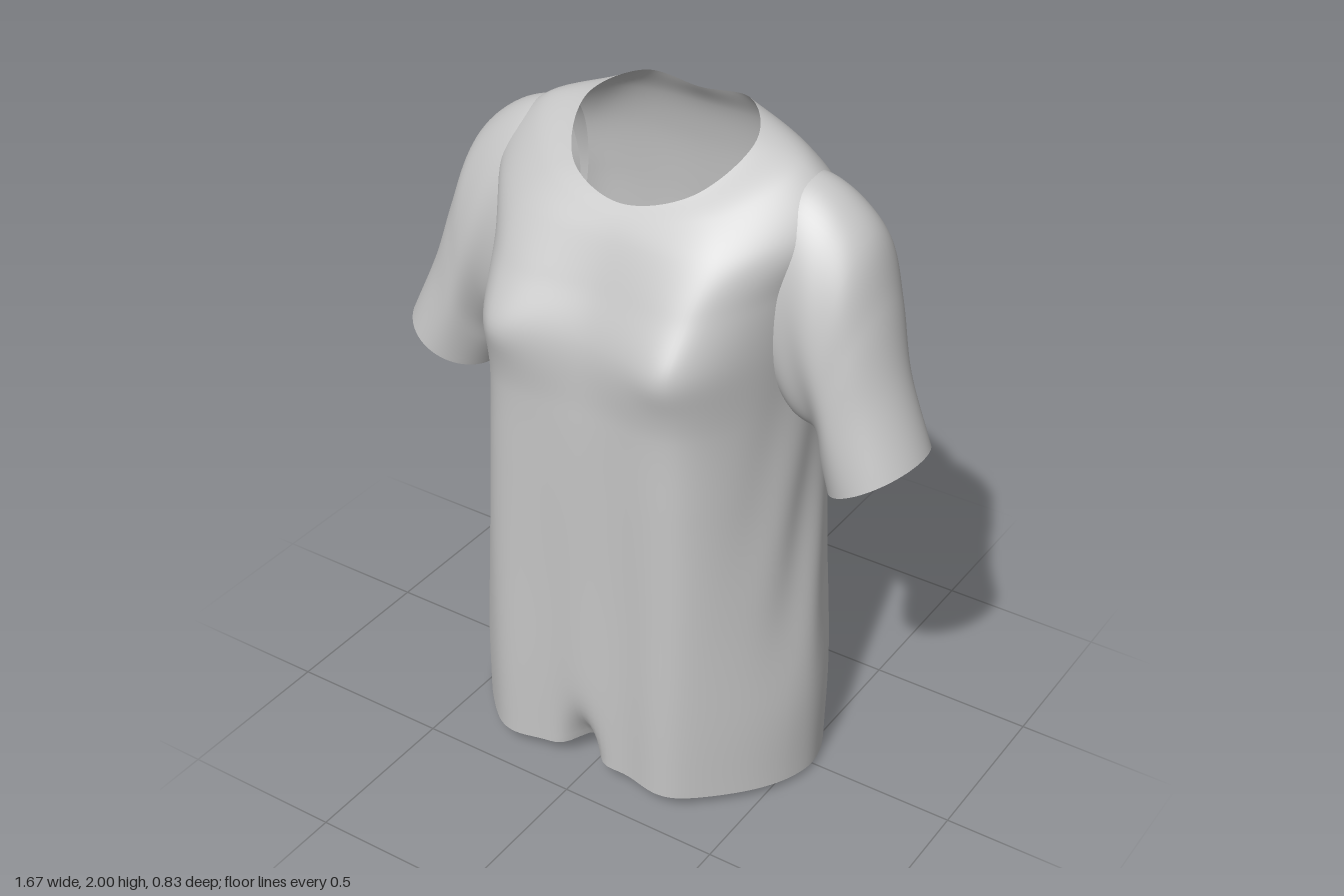
import * as THREE from 'three';

// Skins a list of loops (each an array of n points) with a smooth spline surface.
// Quads for which isHole(x, y, z) holds are left open.
function loft(loops, stepsPerSpan, adjust, isHole = () => false) {
  const n = loops[0].length, rows = (loops.length - 1) * stepsPerSpan + 1;
  const pos = new Float32Array(n * rows * 3), index = [];
  for (let i = 0; i < n; i++) {
    const curve = new THREE.CatmullRomCurve3(loops.map((l) => l[i]));
    for (let j = 0; j < rows; j++) {
      const p = curve.getPoint(j / (rows - 1));
      adjust(p, j / (rows - 1), i / n);
      p.toArray(pos, (j * n + i) * 3);
    }
  }
  for (let j = 0; j < rows - 1; j++) {
    for (let i = 0; i < n; i++) {
      const k = (i + 1) % n, a = j * n + i, b = j * n + k;
      if (isHole(pos[a * 3], pos[a * 3 + 1], pos[a * 3 + 2])) continue;
      index.push(a, a + n, b, b, a + n, b + n);
    }
  }
  const g = new THREE.BufferGeometry();
  g.setAttribute('position', new THREE.BufferAttribute(pos, 3));
  g.setIndex(index);
  g.computeVertexNormals();
  return g;
}

const bump = (v, centre, width) => Math.exp(-(((v - centre) / width) ** 2));

// Body sections from hem to neckline: front, front corner, side, back corner, back.
const BODY = [
  [[0, 0.05, 0.4], [0.33, 0.04, 0.38], [0.555, 0.02, 0.03], [0.36, 0.005, -0.315], [0, 0, -0.405]],
  [[0, 0.3, 0.398], [0.33, 0.3, 0.38], [0.553, 0.3, 0.02], [0.37, 0.3, -0.31], [0, 0.3, -0.38]],
  [[0, 0.65, 0.393], [0.33, 0.65, 0.372], [0.515, 0.65, 0], [0.37, 0.65, -0.3], [0, 0.65, -0.35]],
  [[0, 1, 0.39], [0.32, 1, 0.367], [0.48, 1, -0.02], [0.37, 1, -0.29], [0, 1, -0.323]],
  [[0, 1.25, 0.386], [0.31, 1.25, 0.367], [0.465, 1.25, -0.03], [0.37, 1.25, -0.28], [0, 1.25, -0.308]],
  [[0, 1.45, 0.375], [0.3, 1.45, 0.388], [0.47, 1.44, -0.04], [0.38, 1.44, -0.275], [0, 1.44, -0.298]],
  [[0, 1.6, 0.31], [0.31, 1.6, 0.312], [0.49, 1.62, -0.05], [0.385, 1.62, -0.268], [0, 1.62, -0.29]],
  [[0, 1.72, 0.25], [0.32, 1.73, 0.225], [0.525, 1.79, -0.06], [0.375, 1.79, -0.25], [0, 1.8, -0.272]],
  [[0, 1.765, 0.22], [0.265, 1.815, 0.16], [0.42, 1.912, -0.06], [0.29, 1.91, -0.222], [0, 1.92, -0.24]],
  [[0, 1.8, 0.19], [0.19, 1.85, 0.13], [0.268, 1.955, -0.05], [0.17, 2.0, -0.182], [0, 1.985, -0.198]],
];

function bodyLoop([front, corner, side, backCorner, back]) {
  const mirror = ([x, y, z]) => [-x, y, z];
  const ring = [side, corner, front, mirror(corner), mirror(side), mirror(backCorner), back, backCorner];
  const curve = new THREE.CatmullRomCurve3(ring.map((p) => new THREE.Vector3(...p)), true);
  return Array.from({ length: 144 }, (_, i) => curve.getPoint(i / 144));
}

// Hanging folds, bust points and the pinch in the front hem.
function drapeBody(p) {
  const { x, y, z } = p;
  const low = THREE.MathUtils.clamp(1 - y / 1.35, 0, 1);
  const mid = bump(x, 0, 0.42);
  if (z > 0.1) {
    p.z += 0.014 * low * mid * Math.cos(x * 22);
    p.z += 0.012 * bump(Math.abs(x), 0.28, 0.09) * bump(y, 1.44, 0.07);
    const pinch = bump(x, -0.02, 0.055) * bump(y, 0, 0.15);
    p.z -= 0.11 * pinch;
    p.y += 0.03 * pinch;
  } else if (z < -0.1) {
    const hang = THREE.MathUtils.smoothstep(1.8 - y, 0, 0.6);
    p.z += 0.01 * hang * mid * Math.cos(x * 17 + 2.8);
  }
  // Shallow slanting creases along the sides
  const side = bump(z, 0, 0.17) * bump(y, 0.85, 0.4);
  p.x -= Math.sign(x) * 0.008 * side * (1 + Math.sin(y * 9 + z * 24));
}

// Openings of the body into the sleeves
const armhole = (x, y, z) =>
  Math.abs(x) > 0.38 && ((y - 1.52) / 0.25) ** 2 + ((z + 0.05) / 0.145) ** 2 < 1;

// Sleeve loop: outer point, inner point, depth centre, half depth, backward lean of the top.
const SLEEVE = [
  [0.37, 1.905, 0.43, 1.25, -0.05, 0.175, 0.02],
  [0.46, 1.893, 0.47, 1.215, -0.05, 0.185, 0.025],
  [0.55, 1.845, 0.51, 1.205, -0.045, 0.188, 0.03],
  [0.627, 1.765, 0.53, 1.2, -0.04, 0.185, 0.03],
  [0.685, 1.6, 0.55, 1.17, -0.03, 0.178, 0.02],
  [0.745, 1.4, 0.56, 1.12, -0.01, 0.165, 0.01],
  [0.835, 1.19, 0.582, 1.045, 0.0, 0.165, 0],
];

function sleeveLoop([xo, yo, xi, yi, zc, d, lean], side) {
  const pts = [], n = 72;
  for (let i = 0; i < n; i++) {
    const t = (i / n) * Math.PI * 2, c = Math.cos(t), k = (1 + c) / 2;
    pts.push(new THREE.Vector3(
      side * (xi + (xo - xi) * k), yi + (yo - yi) * k, zc - lean * c - side * d * Math.sin(t)));
  }
  return pts;
}

// Soft creases gathering towards the armpit.
function drapeSleeve(p, v, u) {
  const under = (1 - Math.cos(u * Math.PI * 2)) / 2;
  const face = THREE.MathUtils.clamp((p.z + 0.03) * 10, -1, 1);
  p.z += face * 0.01 * Math.sin(Math.PI * v) * under * Math.sin(Math.abs(p.x) * 38 + p.y * 12);
}

export function createModel() {
  const group = new THREE.Group();
  group.name = 'shirt';
  const fabric = new THREE.MeshStandardMaterial({ color: 0xc4c4c4, side: THREE.DoubleSide });
  fabric.name = 'grey fabric';

  const add = (name, geometry) => {
    const mesh = new THREE.Mesh(geometry, fabric);
    mesh.name = name;
    group.add(mesh);
  };

  // Body from hem to neckline
  add('body', loft(BODY.map(bodyLoop), 10, drapeBody, armhole));

  // Short sleeves
  for (const side of [1, -1]) {
    add(side > 0 ? 'leftSleeve' : 'rightSleeve',
      loft(SLEEVE.map((s) => sleeveLoop(s, side)), 8, drapeSleeve));
  }
  return group;
}
